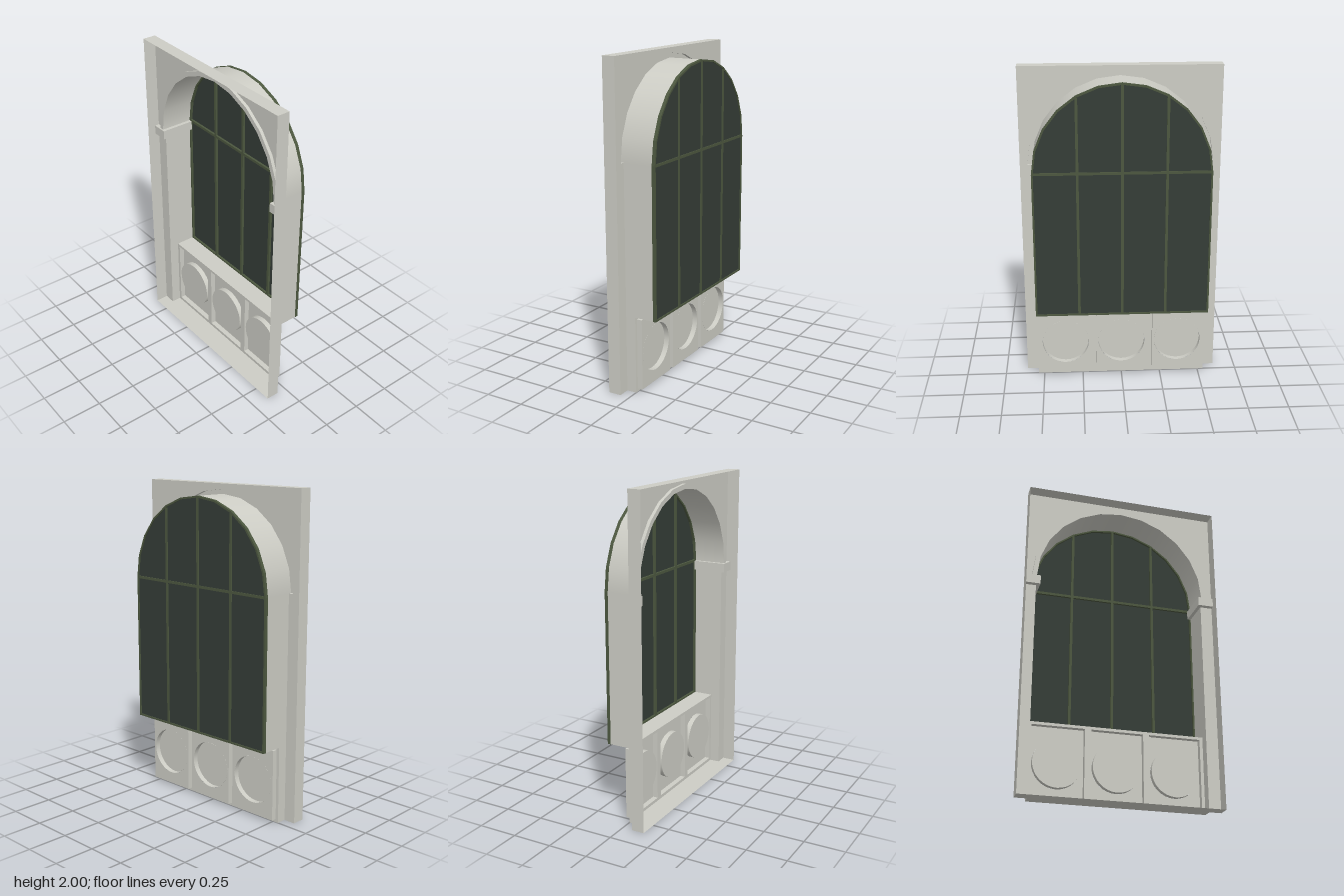
import * as THREE from 'three';

const W = 0.612, R = 0.537, SPRING = 1.4, SILL = 0.48, SEG = 12;
const FRONT = 0.143, WALL = 0.0625, LIP = 0.082, BACK = -0.143, GLAZE = -0.123;
const APRON = 0, RECESS = -0.033;

function material(name, color, side = THREE.FrontSide) {
  const m = new THREE.MeshStandardMaterial({ color, side });
  m.name = name;
  return m;
}

// Arch outline from the right springing point to the left one
function arc(r) {
  const pts = [];
  for (let i = 0; i <= SEG; i++) {
    const a = Math.PI * i / SEG;
    pts.push(new THREE.Vector2(r * Math.cos(a), SPRING + r * Math.sin(a)));
  }
  return pts;
}

// Round-headed window outline
function windowOutline(r, base) {
  return [new THREE.Vector2(-r, base), new THREE.Vector2(r, base), ...arc(r)];
}

function rect(x0, x1, y0, y1) {
  return [[x0, y0], [x1, y0], [x1, y1], [x0, y1]].map(p => new THREE.Vector2(...p));
}

export function createModel() {
  const root = new THREE.Group();
  root.name = 'archedWindowNiche';
  const stone = material('stone', 0xcdcdc5, THREE.DoubleSide);
  const frame = material('greenFrame', 0x4c573f);
  const glass = material('darkGlass', 0x353d37, THREE.DoubleSide);

  function add(name, geo, mat, x = 0, y = 0, z = 0) {
    const m = new THREE.Mesh(geo, mat);
    m.name = name;
    m.position.set(x, y, z);
    root.add(m);
    return m;
  }
  const flat = (name, shape, z, mat = stone) => add(name, new THREE.ShapeGeometry(shape, 32), mat, 0, 0, z);
  const box = (name, x0, x1, y0, y1, z0, z1, mat = stone) =>
    add(name, new THREE.BoxGeometry(x1 - x0, y1 - y0, z1 - z0), mat, (x0 + x1) / 2, (y0 + y1) / 2, (z0 + z1) / 2);
  // Thin upright sheet running in depth
  const sideSheet = (name, x, y0, y1, z0, z1) =>
    add(name, new THREE.PlaneGeometry(z1 - z0, y1 - y0).rotateY(Math.PI / 2), stone, x, (y0 + y1) / 2, (z0 + z1) / 2);
  // Thin level sheet
  const levelSheet = (name, y, x0, x1, z0, z1) =>
    add(name, new THREE.PlaneGeometry(x1 - x0, z1 - z0).rotateX(-Math.PI / 2), stone, (x0 + x1) / 2, y, (z0 + z1) / 2);
  // Half barrel over the springing line
  const vault = (name, r, z0, z1) => add(name,
    new THREE.CylinderGeometry(r, r, z1 - z0, SEG, 1, true, Math.PI / 2, Math.PI).rotateX(Math.PI / 2),
    stone, 0, SPRING, (z0 + z1) / 2);

  // Wall with the arched opening cut down to the floor
  const RO = 0.566;
  const wall = new THREE.Shape([
    new THREE.Vector2(-W, 0), new THREE.Vector2(-R, 0), new THREE.Vector2(-R, SPRING),
    ...arc(RO).reverse(),
    new THREE.Vector2(R, SPRING), new THREE.Vector2(R, 0), new THREE.Vector2(W, 0),
    new THREE.Vector2(W, 2), new THREE.Vector2(-W, 2),
  ]);
  flat('wall', wall, WALL);

  // Open-fronted casing around the wall
  levelSheet('casingTop', 2, -W, W, WALL, FRONT);
  levelSheet('casingFloor', 0, -W, W, WALL, FRONT);
  levelSheet('apronFloor', 0, -R, R, APRON, WALL);

  // Arch moulding and barrel
  flat('archMoulding', new THREE.Shape([...arc(RO), ...arc(R).reverse()]), LIP);
  vault('archMouldingEdge', RO, WALL, LIP);
  vault('barrel', R, BACK, LIP);

  for (const s of [-1, 1]) {
    sideSheet('casingSide', s * W, 0, 2, WALL, FRONT);
    sideSheet('jamb', s * R, SILL, SPRING, BACK, WALL);
    sideSheet('apronJamb', s * R, 0, SILL, APRON, WALL);
    // Impost wraps from the wall face along the jamb
    const span = (a, b) => s > 0 ? [a, b] : [-b, -a];
    box('impostFront', ...span(0.514, W - 0.001), 1.343, SPRING, WALL, 0.092);
    box('impostReturn', ...span(0.514, R - 0.001), 1.343, SPRING, GLAZE, WALL);
  }
  levelSheet('sill', SILL, -R, R, BACK, APRON);

  // Apron with three sunk panels, each with a raised disc
  const apron = new THREE.Shape(rect(-R, R, 0, SILL));
  const P = 0.16, Y0 = 0.02, Y1 = 0.463, CY = 0.241, DISC = 0.148;
  for (const cx of [-0.358, 0, 0.358]) {
    const x0 = cx - P, x1 = cx + P;
    apron.holes.push(new THREE.Path(rect(x0, x1, Y0, Y1)));
    const panel = new THREE.Shape(rect(x0, x1, Y0, Y1));
    panel.holes.push(new THREE.Path().absarc(cx, CY, DISC, 0, Math.PI * 2, true));
    flat('sunkPanel', panel, RECESS);
    for (const x of [x0, x1]) sideSheet('panelSide', x, Y0, Y1, RECESS, APRON);
    for (const y of [Y0, Y1]) levelSheet('panelEdge', y, x0, x1, RECESS, APRON);
    add('discRim', new THREE.CylinderGeometry(DISC, DISC, APRON - RECESS, 32, 1, true).rotateX(Math.PI / 2),
      stone, cx, CY, (APRON + RECESS) / 2);
    add('discFace', new THREE.CircleGeometry(DISC, 32), stone, cx, CY, APRON);
  }
  flat('apron', apron, APRON);

  // Window: glass, border and glazing bars
  flat('glass', new THREE.Shape(windowOutline(R - 0.005, SILL + 0.005)), -0.137, glass);
  const border = new THREE.Shape(windowOutline(R + 0.001, SILL - 0.001));
  border.holes.push(new THREE.Path(windowOutline(R - 0.01, SILL + 0.01)));
  add('windowBorder', new THREE.ExtrudeGeometry(border, { depth: GLAZE - BACK, bevelEnabled: false }),
    frame, 0, 0, BACK);
  const B = 0.008;
  for (const x of [-0.267, 0, 0.267]) {
    const top = SPRING + Math.sqrt((R - 0.01) ** 2 - x * x);
    box('verticalBar', x - B, x + B, SILL + 0.005, top, BACK, GLAZE, frame);
  }
  box('crossBar', -R + 0.005, R - 0.005, SPRING - B, SPRING + B, BACK + 0.0005, GLAZE - 0.0005, frame);

  return root;
}
